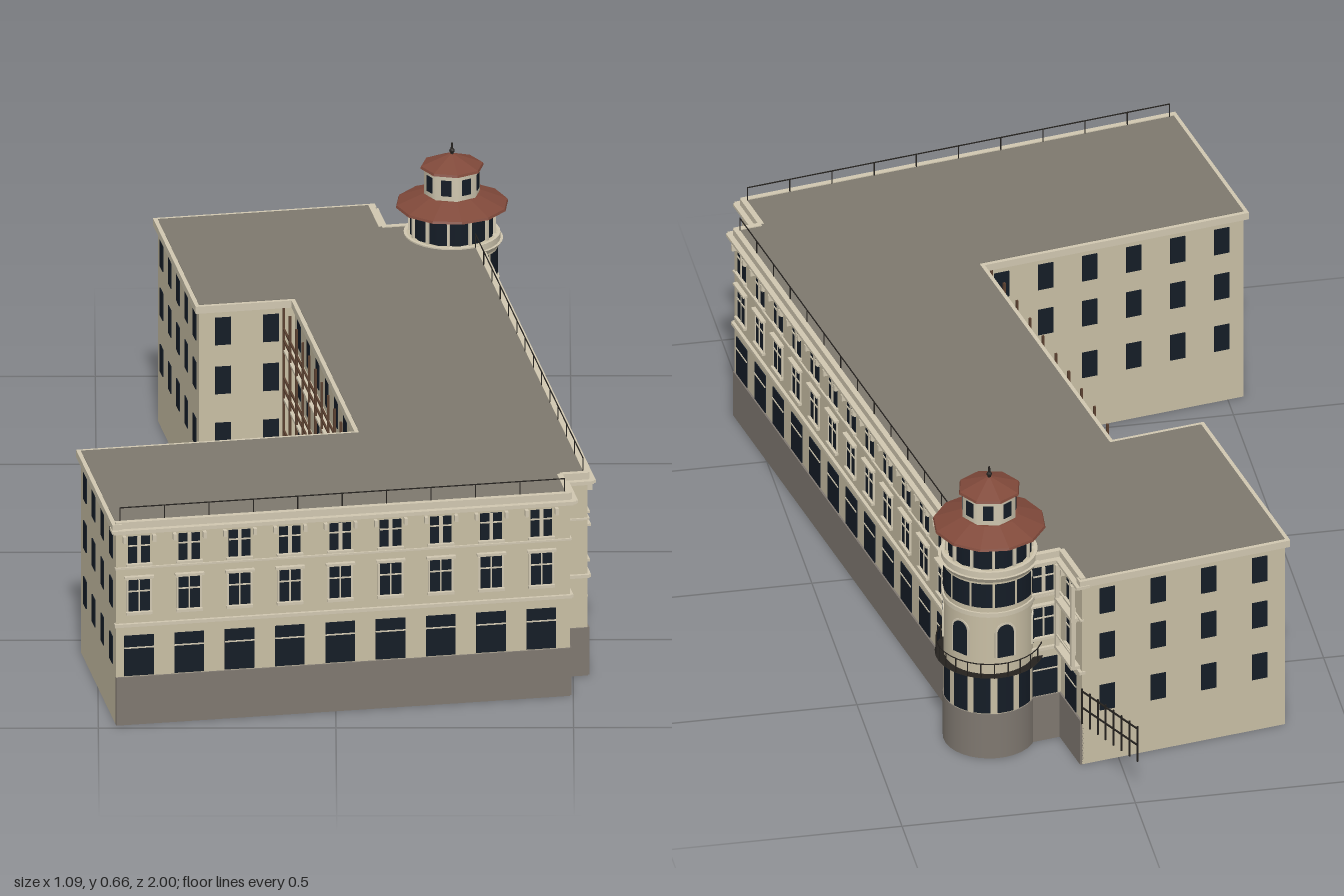
import * as THREE from 'three';
import { mergeGeometries } from 'three/addons/utils/BufferGeometryUtils.js';

const mat = (color, extra = {}) => new THREE.MeshStandardMaterial({ color, ...extra });
const M = {
  wall: mat(0xc8bea4, { side: THREE.DoubleSide }),
  base: mat(0x7f7870, { side: THREE.DoubleSide }),
  roof: mat(0x7e796e, { side: THREE.DoubleSide }),
  trim: mat(0xd0c7b0),
  glass: mat(0x141c26),
  tile: mat(0x80493a, { flatShading: true, side: THREE.DoubleSide }),
  iron: mat(0x25221f),
  wood: mat(0x5a4030),
};

// box given by its centre in x and z and by its bottom and top in y
const box = (w, d, x, y0, y1, z) => new THREE.BoxGeometry(w, y1 - y0, d).translate(x, (y0 + y1) / 2, z);
const cyl = (r0, r1, y0, y1, n = 32, open = false, a = 0, arc = Math.PI * 2) =>
  new THREE.CylinderGeometry(r1, r0, y1 - y0, n, 1, open, a, arc).translate(0, (y0 + y1) / 2, 0);

function add(group, name, material, geoms) {
  if (!geoms.length) return;
  const flat = geoms.map(g => (g.index ? g.toNonIndexed() : g));
  const mesh = new THREE.Mesh(mergeGeometries(flat), material);
  mesh.name = name;
  group.add(mesh);
}

// group whose x runs along the wall and whose z points outwards
function wallGroup(name, p, q) {
  const g = new THREE.Group();
  g.name = name;
  g.position.set((p[0] + q[0]) / 2, 0, (p[1] + q[1]) / 2);
  g.rotation.y = Math.atan2(q[1] - p[1], p[0] - q[0]);
  return { g, L: Math.hypot(q[0] - p[0], q[1] - p[1]) };
}

// street facade: stone base, wide ground windows, two storeys of framed windows
function streetFacade(name, p, q, xs) {
  const { g, L } = wallGroup(name, p, q);
  add(g, 'wall', M.wall, [box(L, 0.004, 0, 0.108, 0.455, -0.002)]);
  add(g, 'base', M.base, [box(L, 0.008, 0, 0, 0.108, 0)]);
  const trim = [
    box(L + 0.006, 0.014, 0, 0.222, 0.229, 0),
    box(L + 0.004, 0.008, 0, 0.352, 0.356, 0),
    box(L + 0.012, 0.018, 0, 0.434, 0.438, 0.002),
    box(L + 0.022, 0.03, 0, 0.438, 0.444, 0.001),
    box(L + 0.002, 0.012, 0, 0.444, 0.459, -0.002),
  ];
  const glass = [];
  for (const x of xs) {
    glass.push(box(0.063, 0.01, x, 0.11, 0.201, -0.003));
    glass.push(box(0.046, 0.01, x, 0.256, 0.326, -0.003));
    glass.push(box(0.046, 0.01, x, 0.365, 0.425, -0.003));
    trim.push(box(0.063, 0.003, x, 0.172, 0.175, 0.002));
    // sills, hood, mullions and transoms
    trim.push(box(0.062, 0.014, x, 0.331, 0.336, 0.003), box(0.056, 0.012, x, 0.249, 0.255, 0.002));
    trim.push(box(0.056, 0.012, x, 0.359, 0.364, 0.002));
    trim.push(box(0.003, 0.004, x, 0.256, 0.326, 0.002), box(0.046, 0.004, x, 0.3, 0.303, 0.002));
    trim.push(box(0.008, 0.004, x, 0.365, 0.425, 0.002), box(0.046, 0.004, x, 0.403, 0.406, 0.002));
    for (const s of [-1, 1]) {
      trim.push(box(0.004, 0.005, x + s * 0.025, 0.256, 0.326, 0.001));
      trim.push(box(0.007, 0.014, x + s * 0.032, 0.414, 0.428, 0.005));
    }
  }
  add(g, 'mouldings', M.trim, trim);
  add(g, 'windows', M.glass, glass);
  return g;
}

// plain rear wall with three rows of small windows
function plainFacade(name, p, q) {
  const { g, L } = wallGroup(name, p, q);
  add(g, 'wall', M.wall, [box(L, 0.004, 0, 0, 0.455, -0.002)]);
  add(g, 'eaves', M.trim, [box(L + 0.016, 0.02, 0, 0.44, 0.456, -0.001)]);
  const n = Math.round(L / 0.105), glass = [];
  for (let i = 0; i < n; i++)
    for (const y of [0.125, 0.252, 0.363])
      glass.push(box(0.034, 0.008, ((i + 0.5) / n - 0.5) * L, y, y + 0.062, -0.002));
  add(g, 'windows', M.glass, glass);
  return g;
}

// timber galleries along the courtyard wall
function addGalleries(g, L) {
  const rails = [], decks = [], n = 10;
  for (const y of [0.115, 0.235, 0.345]) {
    decks.push(box(L, 0.026, 0, y - 0.006, y, 0.013));
    for (const h of [0.02, 0.045]) rails.push(box(L, 0.004, 0, y + h, y + h + 0.004, 0.025));
  }
  for (let i = 0; i <= n; i++) rails.push(box(0.005, 0.005, (i / n - 0.5) * (L - 0.01), 0.1, 0.45, 0.025));
  add(g, 'galleryDecks', M.trim, decks);
  add(g, 'galleryRails', M.wood, rails);
}

// thin railing from p to q: posts between y0 and y1, rails at the listed heights
function railing(name, p, q, y0, y1, heights, n, t) {
  const { g, L } = wallGroup(name, p, q);
  const bars = heights.map(y => box(L, t, 0, y - t, y, 0));
  for (let i = 0; i <= n; i++) bars.push(box(t, t, (i / n - 0.5) * L, y0, y1, 0));
  add(g, 'bars', M.iron, bars);
  return g;
}

function archWindow(w, h) {
  const s = new THREE.Shape();
  s.moveTo(-w / 2, 0).lineTo(w / 2, 0).lineTo(w / 2, h - w / 2);
  s.absarc(0, h - w / 2, w / 2, 0, Math.PI);
  return new THREE.ExtrudeGeometry(s, { depth: 0.006, bevelEnabled: false, curveSegments: 8 });
}

function cornerTower() {
  const g = new THREE.Group(), R = 0.096, n = 12, step = (Math.PI * 2) / n;
  g.name = 'cornerTower';
  add(g, 'towerBase', M.base, [cyl(R + 0.002, R + 0.002, 0, 0.108)]);
  add(g, 'towerWall', M.wall, [cyl(R, R, 0.108, 0.46)]);
  const glass = [], iron = [], trim = [];
  for (let i = 0; i < n; i++) {
    const a = i * step;
    glass.push(cyl(R + 0.001, R + 0.001, 0.11, 0.198, 4, true, a - step * 0.36, step * 0.72));
    glass.push(cyl(R + 0.001, R + 0.001, 0.37, 0.428, 4, true, a - step * 0.45, step * 0.9));
    if (i % 2 === 0) {
      glass.push(archWindow(0.036, 0.078).translate(0, 0.247, R - 0.004).rotateY(a));
      trim.push(archWindow(0.046, 0.084).translate(0, 0.246, R - 0.0055).rotateY(a));
    }
    trim.push(box(0.006, 0.006, 0, 0.46, 0.525, 0.09).rotateY(a + step / 2));
  }
  for (let i = 0; i < 2 * n; i++) iron.push(box(0.002, 0.002, 0, 0.205, 0.24, 0.112).rotateY((i * step) / 2));
  // balcony and its handrail
  iron.push(cyl(0.1, 0.115, 0.198, 0.207));
  iron.push(new THREE.TorusGeometry(0.112, 0.0015, 4, 32).rotateX(Math.PI / 2).translate(0, 0.24, 0));
  // rings and lantern walls
  trim.push(cyl(0.1, 0.1, 0.348, 0.358), cyl(0.1, 0.108, 0.434, 0.446), cyl(0.102, 0.102, 0.446, 0.46));
  trim.push(cyl(0.06, 0.06, 0.54, 0.61, 8));
  glass.push(cyl(0.09, 0.09, 0.46, 0.527, n));
  for (let i = 0; i < 8; i++)
    glass.push(box(0.022, 0.003, 0, 0.56, 0.595, 0.0555).rotateY((i + 0.5) * Math.PI / 4));
  add(g, 'towerWindows', M.glass, glass);
  add(g, 'towerMouldings', M.trim, trim);
  add(g, 'balcony', M.iron, iron);
  add(g, 'towerRoofs', M.tile, [
    cyl(0.12, 0.118, 0.521, 0.526, n), cyl(0.118, 0.062, 0.526, 0.549, n),
    cyl(0.068, 0.066, 0.606, 0.611, 8), cyl(0.066, 0.006, 0.611, 0.635, 8),
  ]);
  add(g, 'finial', M.iron, [cyl(0.004, 0.002, 0.63, 0.66, 6), new THREE.SphereGeometry(0.006, 8, 6).translate(0, 0.642, 0)]);
  g.position.set(0.361, 0, -0.617);
  return g;
}

export function createModel() {
  const model = new THREE.Group();
  model.name = 'building';
  model.rotation.y = 0.173;

  // corners of the footprint, walked from the back
  const A = [-0.235, -0.8], B = [0.222, -0.8], C = [0.222, -0.675], X = [0.402, -0.675];
  const E = [0.402, 0.78], F = [0.345, 0.78], G = [0.345, 0.888], H = [-0.625, 0.888];
  const I = [-0.625, 0.468], J = [-0.03, 0.468], K = [-0.03, -0.305], L = [-0.235, -0.305];
  const row = (start, step, n) => Array.from({ length: n }, (_, i) => start + i * step);

  model.add(streetFacade('rightFacade', X, E, row(-0.6825, 0.108, 12)));
  model.add(streetFacade('frontFacade', G, H, row(-0.436, 0.1075, 9)));
  model.add(streetFacade('cornerPierFront', E, F, []));
  model.add(streetFacade('cornerPierSide', F, G, []));
  model.add(streetFacade('backReturn', B, C, [0]));
  model.add(streetFacade('towerReturn', C, X, [0.05]));
  model.add(plainFacade('backWall', A, B));
  model.add(plainFacade('frontWingEnd', H, I));
  model.add(plainFacade('frontWingCourt', I, J));
  model.add(plainFacade('backWingCourt', K, L));
  model.add(plainFacade('backWingEnd', L, A));
  const court = plainFacade('courtyardWall', J, K);
  addGalleries(court, 0.773);
  model.add(court);

  // flat roof
  const shape = new THREE.Shape([A, B, C, X, E, F, G, H, I, J, K, L].map(([x, z]) => new THREE.Vector2(x, -z)));
  add(model, 'roof', M.roof, [
    new THREE.ExtrudeGeometry(shape, { depth: 0.004, bevelEnabled: false }).rotateX(-Math.PI / 2).translate(0, 0.453, 0),
  ]);

  // small loggia on the back return
  const loggia = [];
  for (const y of [0.228, 0.346]) loggia.push(box(0.02, 0.1, 0.232, y, y + 0.008, -0.738));
  for (const z of [-0.784, -0.692]) loggia.push(box(0.008, 0.008, 0.237, 0.236, 0.434, z));
  loggia.push(box(0.003, 0.09, 0.239, 0.262, 0.266, -0.738));
  add(model, 'loggia', M.trim, loggia);

  // roof railings and side fence
  model.add(railing('frontRoofRailing', [0.335, 0.88], [-0.615, 0.88], 0.45, 0.489, [0.489], 10, 0.002));
  model.add(railing('rightRoofRailing', [0.394, -0.52], [0.394, 0.77], 0.45, 0.489, [0.489], 13, 0.002));
  model.add(railing('sideFence', [0.222, -0.8], [0.167, -0.984], 0.1, 0.187, [0.142, 0.182], 7, 0.003));
  model.add(cornerTower());

  const root = new THREE.Group();
  root.name = 'model';
  root.add(model);
  return root;
}
